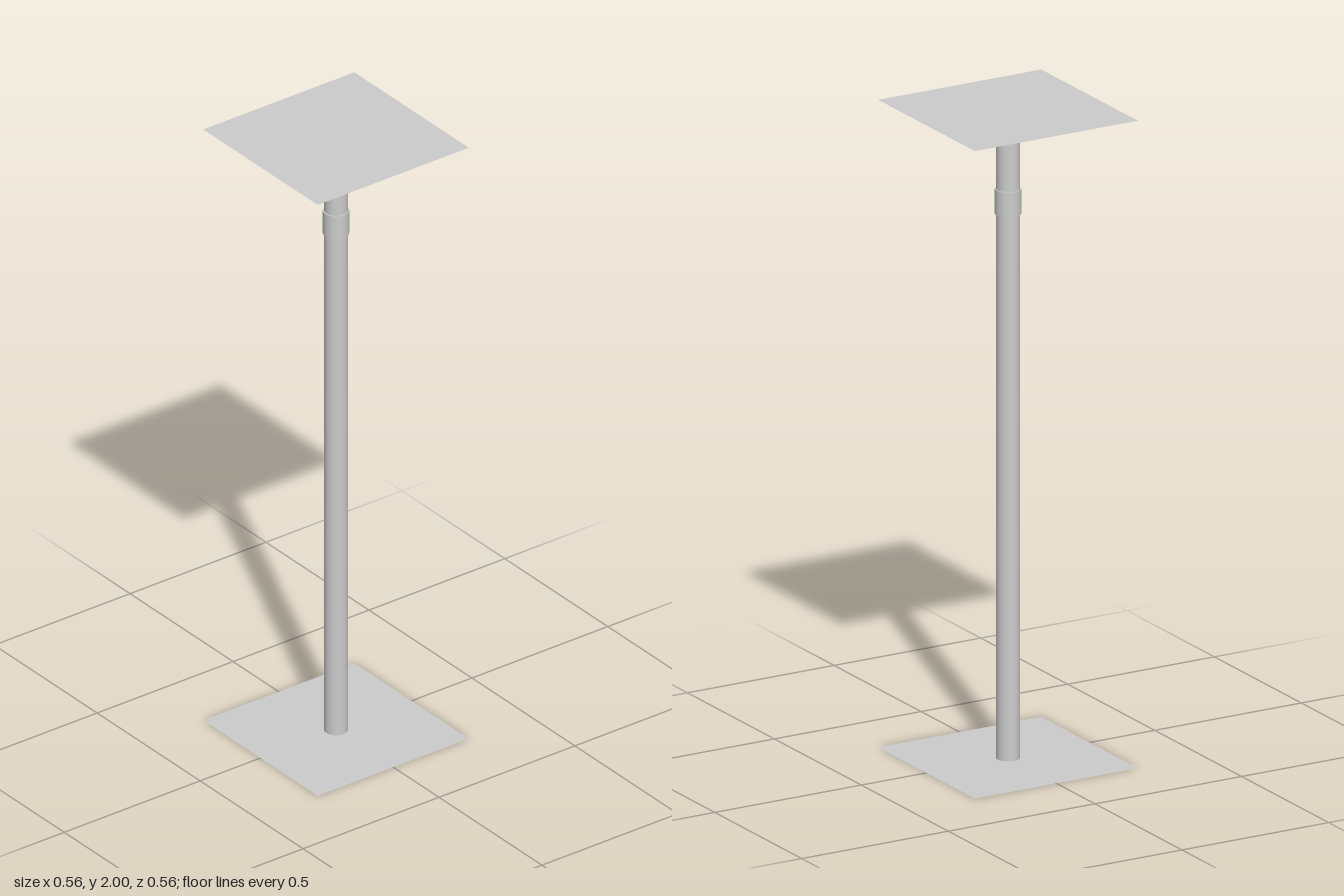
import * as THREE from 'three';

export function createModel() {
  const model = new THREE.Group();
  const metal = new THREE.MeshStandardMaterial({ color: 0xcccccc });
  const sheet = new THREE.MeshStandardMaterial({ color: 0xcccccc, side: THREE.DoubleSide });

  const add = (name, geometry, material, y) => {
    const mesh = new THREE.Mesh(geometry, material);
    mesh.name = name;
    mesh.position.y = y;
    model.add(mesh);
  };

  // Thin square plates on the floor and at the top
  const plate = new THREE.PlaneGeometry(0.556, 0.556).rotateX(-Math.PI / 2);
  add('basePlate', plate, sheet, 0);
  add('topPlate', plate, sheet, 2);

  // Round pole joining the plates, which close its ends
  add('pole', new THREE.CylinderGeometry(0.035, 0.035, 2, 32, 1, true), metal, 1);

  // Collar where the pole sections meet
  add('collar', new THREE.CylinderGeometry(0.039, 0.039, 0.077, 32), metal, 1.72);

  return model;
}
